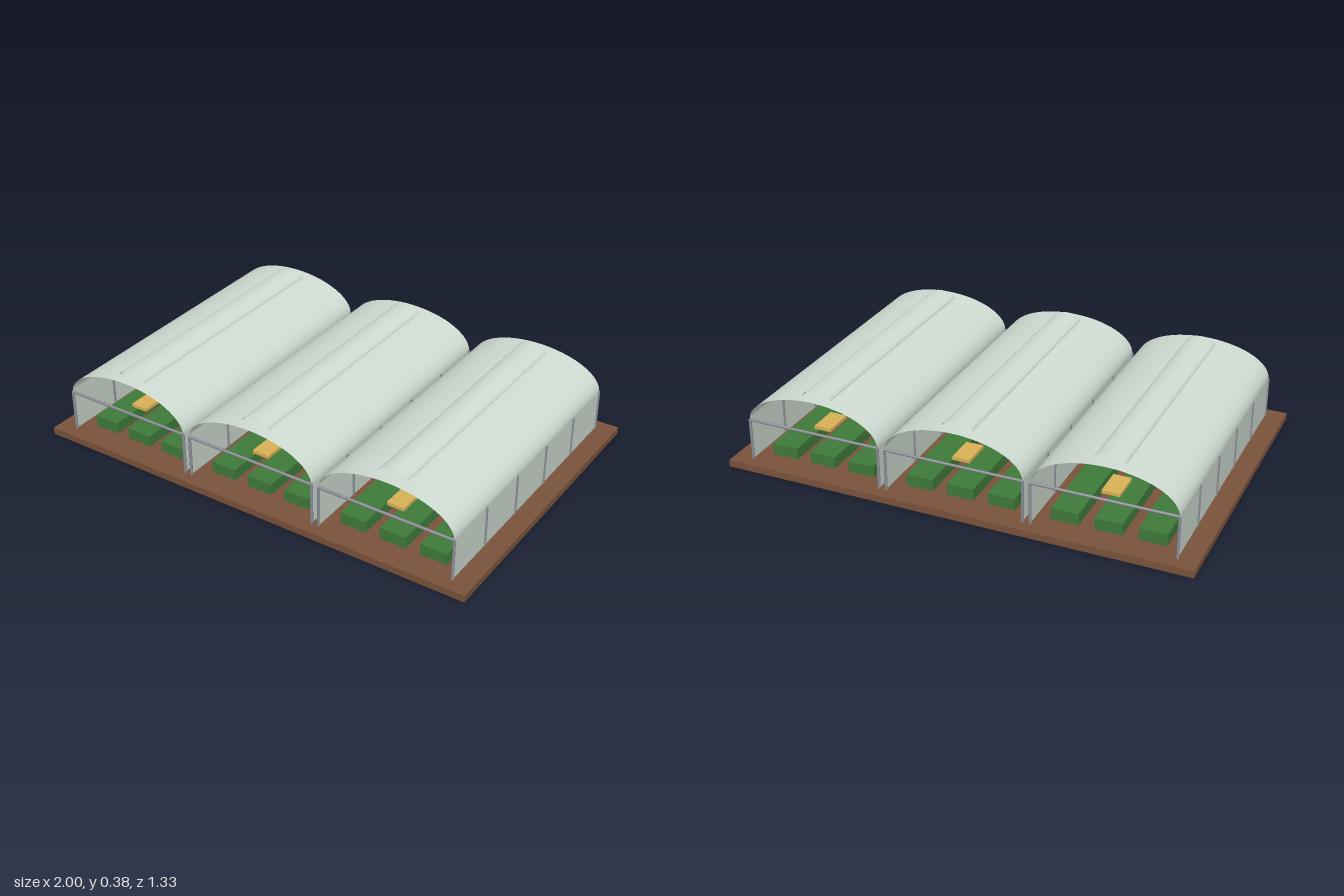
import * as THREE from 'three';

const mat = (name, color, side = THREE.FrontSide) => {
  const m = new THREE.MeshStandardMaterial({ color, side });
  m.name = name;
  return m;
};

export function createModel() {
  const soil = mat('soil brown', 0x7a523b);
  const roofSkin = mat('pale roof film', 0xd0ddd3, THREE.DoubleSide);
  const wallSkin = mat('pale wall film', 0xc8d2ca, THREE.DoubleSide);
  const steel = mat('steel grey', 0x8b8f96);
  const leaf = mat('crop green', 0x3f7a3a);
  const lampYellow = mat('lamp yellow', 0xd8b255);

  const model = new THREE.Group();
  model.name = 'greenhouses';

  const add = (parent, name, geometry, material, x = 0, y = 0, z = 0) => {
    const mesh = new THREE.Mesh(geometry, material);
    mesh.name = name;
    mesh.position.set(x, y, z);
    parent.add(mesh);
    return mesh;
  };

  // Open half-elliptic vault running along z, standing on its own base line
  const vault = (halfWidth, rise, length) => {
    const g = new THREE.CylinderGeometry(1, 1, length, 32, 1, true, -Math.PI / 2, Math.PI);
    g.rotateX(-Math.PI / 2);
    g.computeBoundingBox();
    if (g.boundingBox.max.y < 0.5) g.rotateZ(Math.PI);
    g.scale(halfWidth, rise, 1);
    return g;
  };

  const floor = 0.03, eave = 0.21, half = 0.295, length = 1.225;
  const wallHeight = eave - floor;

  add(model, 'groundSlab', new THREE.BoxGeometry(2, floor, 1.334), soil, 0, floor / 2, 0);

  const roofGeo = vault(half, 0.14, length);
  const ventGeo = vault(0.065, 0.031, 1.125);
  const wallGeo = new THREE.PlaneGeometry(length, wallHeight).rotateY(Math.PI / 2);
  const postGeo = new THREE.CylinderGeometry(0.006, 0.006, wallHeight, 8);
  const barGeo = new THREE.CylinderGeometry(0.006, 0.006, half * 2, 8).rotateZ(Math.PI / 2);
  const bedGeo = new THREE.BoxGeometry(0.115, 0.05, 1.1);
  const lampGeo = new THREE.BoxGeometry(0.075, 0.014, 0.13);

  for (const bayX of [-0.622, 0, 0.622]) {
    const bay = new THREE.Group();
    bay.name = 'greenhouseBay';
    bay.position.x = bayX;
    model.add(bay);

    add(bay, 'archedRoof', roofGeo, roofSkin, 0, eave, 0);
    add(bay, 'ridgeVent', ventGeo, roofSkin, 0, 0.344, 0);

    // Side walls with their row of posts
    for (const s of [-1, 1]) {
      add(bay, 'sideWall', wallGeo, wallSkin, s * half, floor + wallHeight / 2, 0);
      for (let i = 0; i < 6; i++) {
        add(bay, 'post', postGeo, steel, s * half, floor + wallHeight / 2, -0.611 + i * 0.2444);
      }
      // Crossbar over each open end
      add(bay, 'crossbar', barGeo, steel, 0, eave, s * 0.611);
    }

    // Crop beds
    for (const x of [-0.178, 0, 0.178]) {
      add(bay, 'cropBed', bedGeo, leaf, x, floor + 0.025, 0);
    }

    // Hanging lamps along the middle
    for (let i = -2; i <= 2; i++) {
      add(bay, 'growLamp', lampGeo, lampYellow, 0, 0.193, i * 0.235);
    }
  }

  return model;
}
